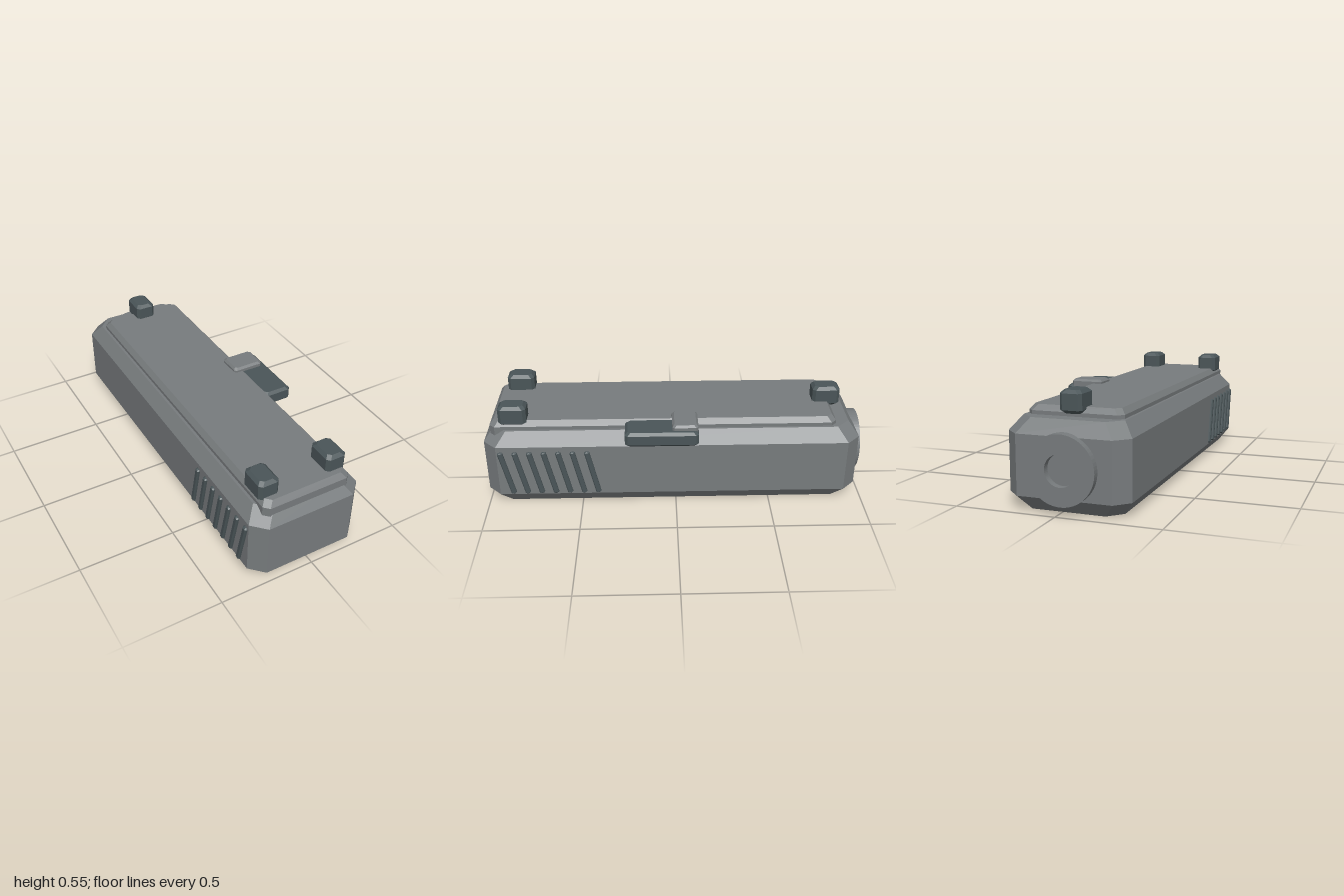
import * as THREE from 'three';

const grey = new THREE.MeshStandardMaterial({ color: 0x777b7d });
grey.name = 'steel grey';
const dark = new THREE.MeshStandardMaterial({ color: 0x4a5558 });
dark.name = 'dark slate';

const CX = -0.027; // centre line of the main block

// Box with cut vertical corners (corner) and sloped top and bottom rims:
// the rim is `inset` wide and `rise` high.
function chamferBox(w, h, d, corner, inset = corner, rise = corner) {
  const ring = (y, s) => {
    const a = w / 2 - s, b = d / 2 - s, c = corner;
    return [[a, b - c], [a, c - b], [a - c, -b], [c - a, -b], [-a, c - b], [-a, b - c], [c - a, b], [a - c, b]]
      .map(([x, z]) => [x, y, z]);
  };
  const rings = [ring(-h / 2, inset), ring(-h / 2 + rise, 0), ring(h / 2 - rise, 0), ring(h / 2, inset)];
  const pos = [];
  const tri = (...p) => p.forEach((v) => pos.push(...v));
  for (let r = 0; r < 3; r++) {
    for (let i = 0; i < 8; i++) {
      const j = (i + 1) % 8;
      const a = rings[r][i], b = rings[r][j], c = rings[r + 1][j], e = rings[r + 1][i];
      tri(a, b, c);
      tri(a, c, e);
    }
  }
  for (let i = 1; i < 7; i++) {
    tri(rings[3][0], rings[3][i], rings[3][i + 1]);
    tri(rings[0][0], rings[0][i + 1], rings[0][i]);
  }
  const g = new THREE.BufferGeometry();
  g.setAttribute('position', new THREE.Float32BufferAttribute(pos, 3));
  g.computeVertexNormals();
  return g;
}

function add(parent, name, geometry, material, x, y, z) {
  const mesh = new THREE.Mesh(geometry, material);
  mesh.name = name;
  mesh.position.set(x, y, z);
  parent.add(mesh);
  return mesh;
}

// Chamfered box given by its extents
function block(parent, name, material, [x0, x1], [y0, y1], [z0, z1], corner, inset, rise) {
  return add(parent, name, chamferBox(x1 - x0, y1 - y0, z1 - z0, corner, inset, rise), material,
    (x0 + x1) / 2, (y0 + y1) / 2, (z0 + z1) / 2);
}

export function createModel() {
  const model = new THREE.Group();
  model.name = 'model';

  // Main block and raised top plate
  block(model, 'body', grey, [-0.327, 0.273], [0, 0.425], [-0.965, 1], 0.068, 0.052, 0.069);
  block(model, 'topPlate', grey, [-0.262, 0.209], [0.36, 0.47], [-0.84, 0.965], 0.027, 0.022, 0.027);

  // Two front posts and one back post
  for (const x of [-0.21, 0.1555]) {
    block(model, 'frontPost', dark, [x - 0.0535, x + 0.0535], [0.445, 0.553], [0.77, 0.915], 0.016);
  }
  block(model, 'backPost', dark, [-0.081, 0.027], [0.443, 0.551], [-0.885, -0.74], 0.016);

  // Side block with its small cap
  block(model, 'sideBlock', dark, [0.18, 0.338], [0.385, 0.464], [-0.115, 0.262], 0.014);
  block(model, 'sideCap', grey, [0.14, 0.31], [0.44, 0.491], [-0.113, 0.02], 0.011);

  // Slanted ribs on both sides
  for (const [side, x] of [['left', 0.268], ['right', -0.322]]) {
    const ribs = new THREE.Group();
    ribs.name = side + 'Ribs';
    const geometry = chamferBox(0.037, 0.257, 0.028, 0.006);
    for (let i = 0; i < 7; i++) {
      const rib = add(ribs, 'rib', geometry, dark, x, 0.203, 0.885 - i * 0.0747);
      rib.rotation.x = 0.215;
    }
    model.add(ribs);
  }

  // Round collar with a shallow recess at the back
  const outline = new THREE.Shape().absarc(0, 0, 0.164, 0, Math.PI * 2, false);
  outline.holes.push(new THREE.Path().absarc(0, 0, 0.075, 0, Math.PI * 2, true));
  const collar = new THREE.ExtrudeGeometry(outline, { depth: 0.08, bevelEnabled: false, curveSegments: 32 });
  add(model, 'collar', collar, grey, CX, 0.211, -1);

  return model;
}
